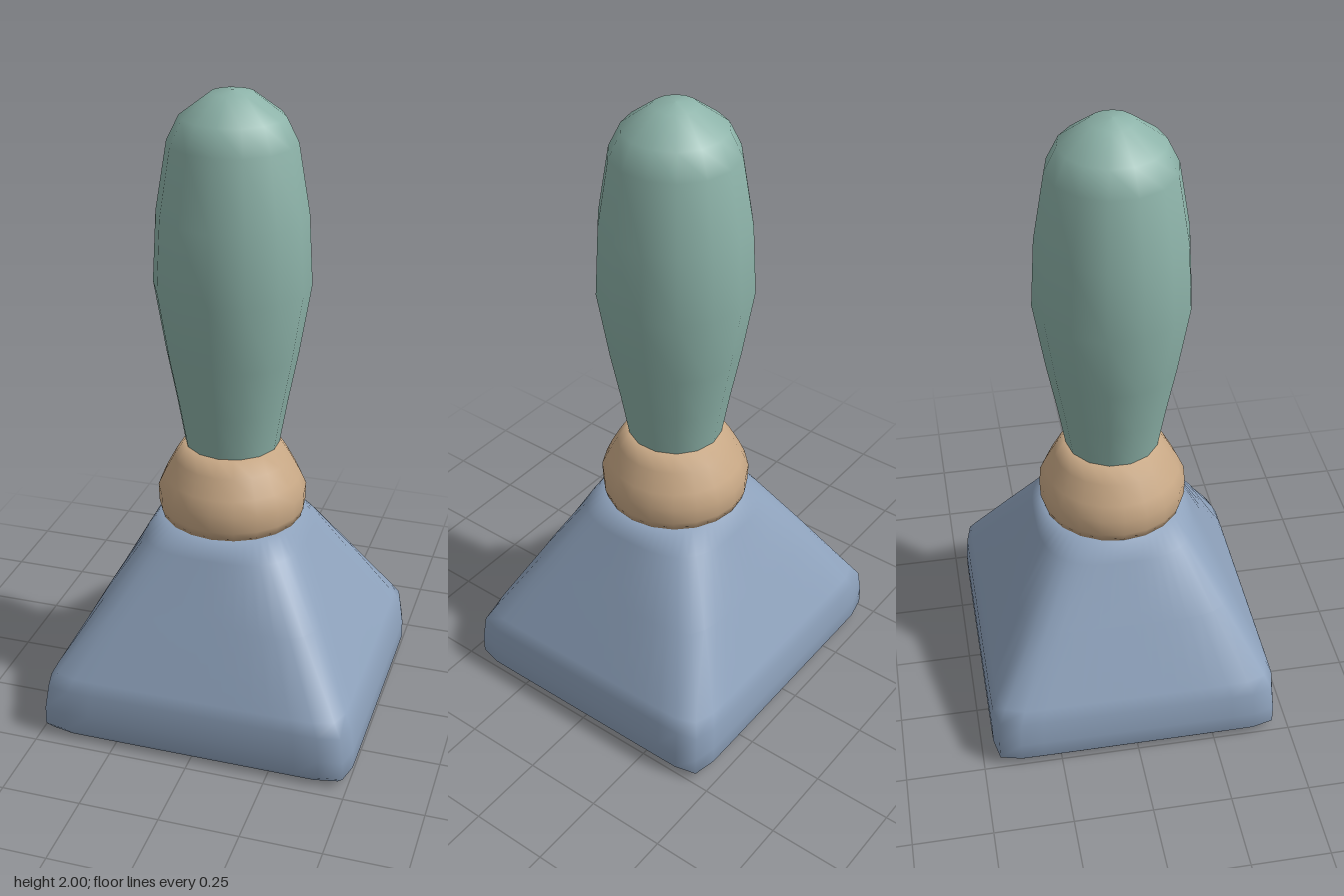
import * as THREE from 'three';

const mat = (name, color) => {
  const m = new THREE.MeshStandardMaterial({ color });
  m.name = name;
  return m;
};

// Round part turned from [radius, y] pairs, bottom to top
function turned(name, profile, sides, material) {
  const points = profile.map(([r, y]) => new THREE.Vector2(r, y));
  const mesh = new THREE.Mesh(new THREE.LatheGeometry(points, sides), material);
  mesh.name = name;
  return mesh;
}

// Smooth skin through rings [y, half width, half depth, squareness]; squareness 2 is an ellipse
function loft(rings, sides) {
  const positions = [], index = [];
  for (const [y, w, d, n] of rings) {
    for (let j = 0; j < sides; j++) {
      const a = (j / sides) * Math.PI * 2;
      const c = Math.cos(a), s = Math.sin(a);
      const r = (Math.abs(c) ** n + Math.abs(s) ** n) ** (-1 / n);
      positions.push(c * r * w, y, s * r * d);
    }
  }
  for (let i = 0; i < rings.length - 1; i++) {
    for (let j = 0; j < sides; j++) {
      const k = (j + 1) % sides;
      const a = i * sides + j, b = i * sides + k;
      index.push(a, a + sides, b, b, a + sides, b + sides);
    }
  }
  const g = new THREE.BufferGeometry();
  g.setAttribute('position', new THREE.Float32BufferAttribute(positions, 3));
  g.setIndex(index);
  g.computeVertexNormals();
  return g;
}

export function createModel() {
  const group = new THREE.Group();
  group.name = 'handStamp';
  const green = mat('sageGreen', 0x8db3a9);
  const tan = mat('warmTan', 0xc9a986);
  const blue = mat('slateBlue', 0x8ea2bc);

  // Flared base: soft-cornered square foot rising to a round neck
  const base = new THREE.Mesh(loft([
    [0.0, 0.0, 0.0, 20],
    [0.004, 0.46, 0.42, 20],
    [0.008, 0.485, 0.447, 20],
    [0.03, 0.503, 0.463, 20],
    [0.09, 0.502, 0.463, 20],
    [0.17, 0.492, 0.458, 18],
    [0.21, 0.472, 0.441, 14],
    [0.42, 0.357, 0.341, 6],
    [0.6, 0.259, 0.254, 3],
    [0.66, 0.226, 0.226, 2],
    [0.662, 0.0, 0.0, 2],
  ], 64), blue);
  base.name = 'base';
  group.add(base);

  // Bulging collar
  group.add(turned('collar', [
    [0, 0.657], [0.222, 0.658], [0.232, 0.69], [0.234, 0.745],
    [0.214, 0.79], [0.182, 0.85], [0.15, 0.9], [0, 0.9],
  ], 20, tan));

  // Swelling handle with a faceted outline
  group.add(turned('handle', [
    [0.147, 0.895], [0.172, 1.04], [0.203, 1.2], [0.239, 1.42],
    [0.227, 1.64], [0.192, 1.85], [0.155, 1.925], [0.065, 1.992], [0, 2.0],
  ], 14, green));

  return group;
}
